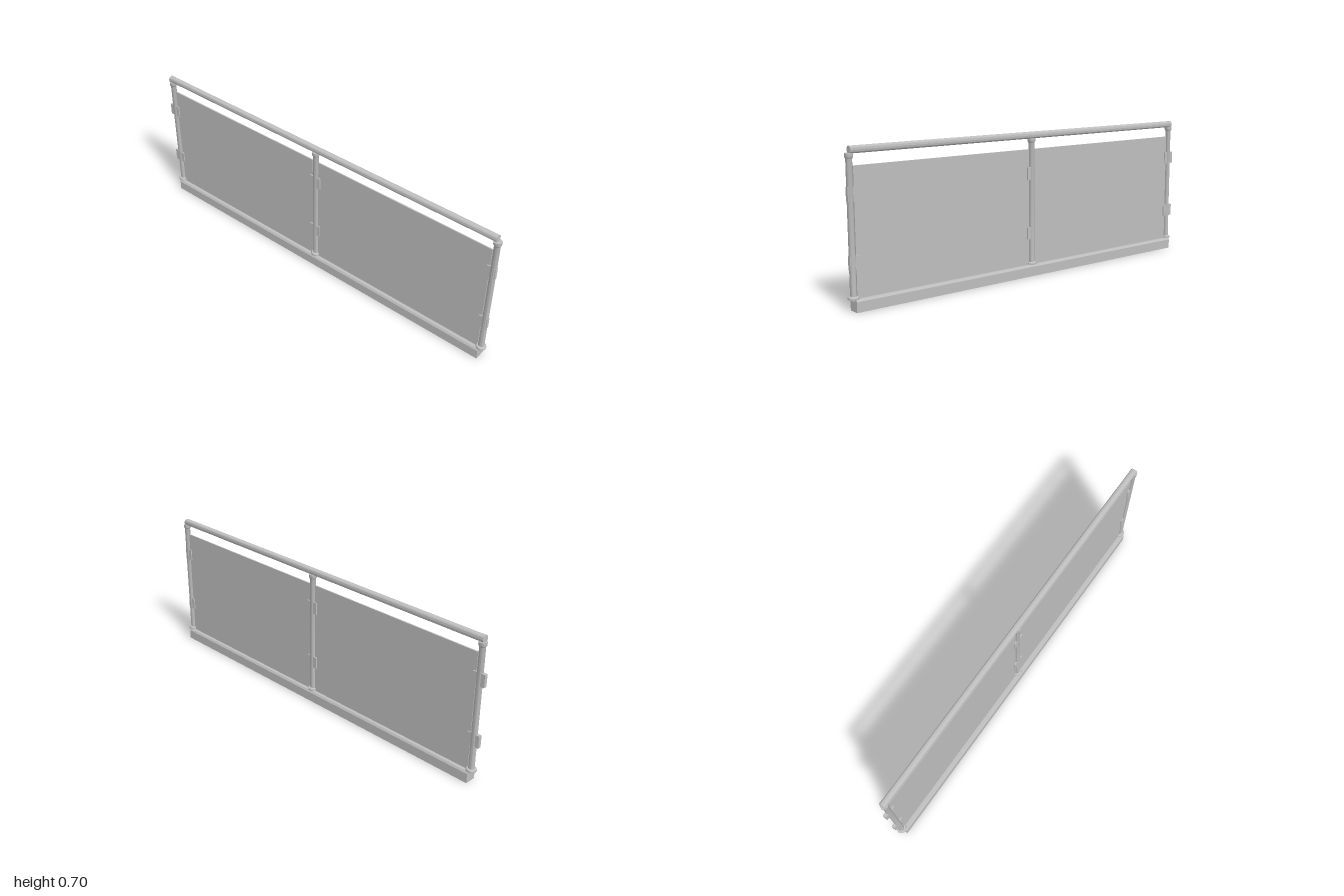
import * as THREE from 'three';
import { toCreasedNormals } from 'three/addons/utils/BufferGeometryUtils.js';

const LEFT_END = -0.97, RIGHT_END = 0.975;
const MIDDLE = (LEFT_END + RIGHT_END) / 2;
const LENGTH = RIGHT_END - LEFT_END;
const SIDES = 12;

export function createModel() {
  const model = new THREE.Group();
  model.name = 'glassBalustrade';
  const steel = new THREE.MeshStandardMaterial({ color: 0xbfbfbf });
  steel.name = 'satin grey';

  const add = (name, geometry, x = 0, y = 0, z = 0, parent = model) => {
    const mesh = new THREE.Mesh(geometry, steel);
    mesh.name = name;
    mesh.position.set(x, y, z);
    parent.add(mesh);
    return mesh;
  };

  // Base channel: bevelled top edges and a slot for the panels
  const profile = new THREE.Shape([
    [-0.027, 0], [0.027, 0], [0.027, 0.046], [0.021, 0.055], [0.006, 0.055],
    [0.006, 0.043], [-0.006, 0.043], [-0.006, 0.055], [-0.021, 0.055], [-0.027, 0.046],
  ].map(([z, y]) => new THREE.Vector2(z, y)));
  const channel = new THREE.ExtrudeGeometry(profile, { depth: LENGTH, bevelEnabled: false });
  channel.rotateY(Math.PI / 2);
  add('baseChannel', channel, LEFT_END);

  // Turned post with foot flange, shaft and saddle cap
  const postProfile = [
    [0, 0.054], [0.024, 0.054], [0.024, 0.062], [0.021, 0.066], [0.014, 0.067],
    [0.014, 0.646], [0.0185, 0.653], [0.0185, 0.669], [0, 0.669],
  ].map(([r, y]) => new THREE.Vector2(r, y));
  const postGeometry = toCreasedNormals(new THREE.LatheGeometry(postProfile, SIDES), 0.6);

  [
    ['leftPost', RIGHT_END, 0.0145],
    ['middlePost', MIDDLE, 0.03],
    ['rightPost', LEFT_END, 0.03],
  ].forEach(([name, x, reach]) => {
    const post = new THREE.Group();
    post.name = name;
    post.position.x = x;
    model.add(post);
    add('postShaft', postGeometry, 0, 0, 0, post);
    // Panel clamps on both sides of the post
    for (const y of [0.21, 0.5]) {
      add('panelClamp', new THREE.BoxGeometry(0.03 + reach, 0.06, 0.017), (reach - 0.03) / 2, y, 0, post);
    }
  });

  // Infill panels, held clear of the posts
  const panelWidth = LENGTH / 2 - 0.034;
  for (const side of [-1, 1]) {
    add('infillPanel', new THREE.BoxGeometry(panelWidth, 0.573, 0.006),
      MIDDLE + side * LENGTH / 4, 0.3295, 0);
  }

  // Round handrail with a small end cap
  const tube = (radius, length) => toCreasedNormals(
    new THREE.CylinderGeometry(radius, radius, length, SIDES).rotateZ(Math.PI / 2), 0.6);
  add('handrail', tube(0.0165, LENGTH), MIDDLE, 0.6825, 0);
  add('handrailEndCap', tube(0.0175, 0.02), LEFT_END, 0.6825, 0);

  return model;
}
